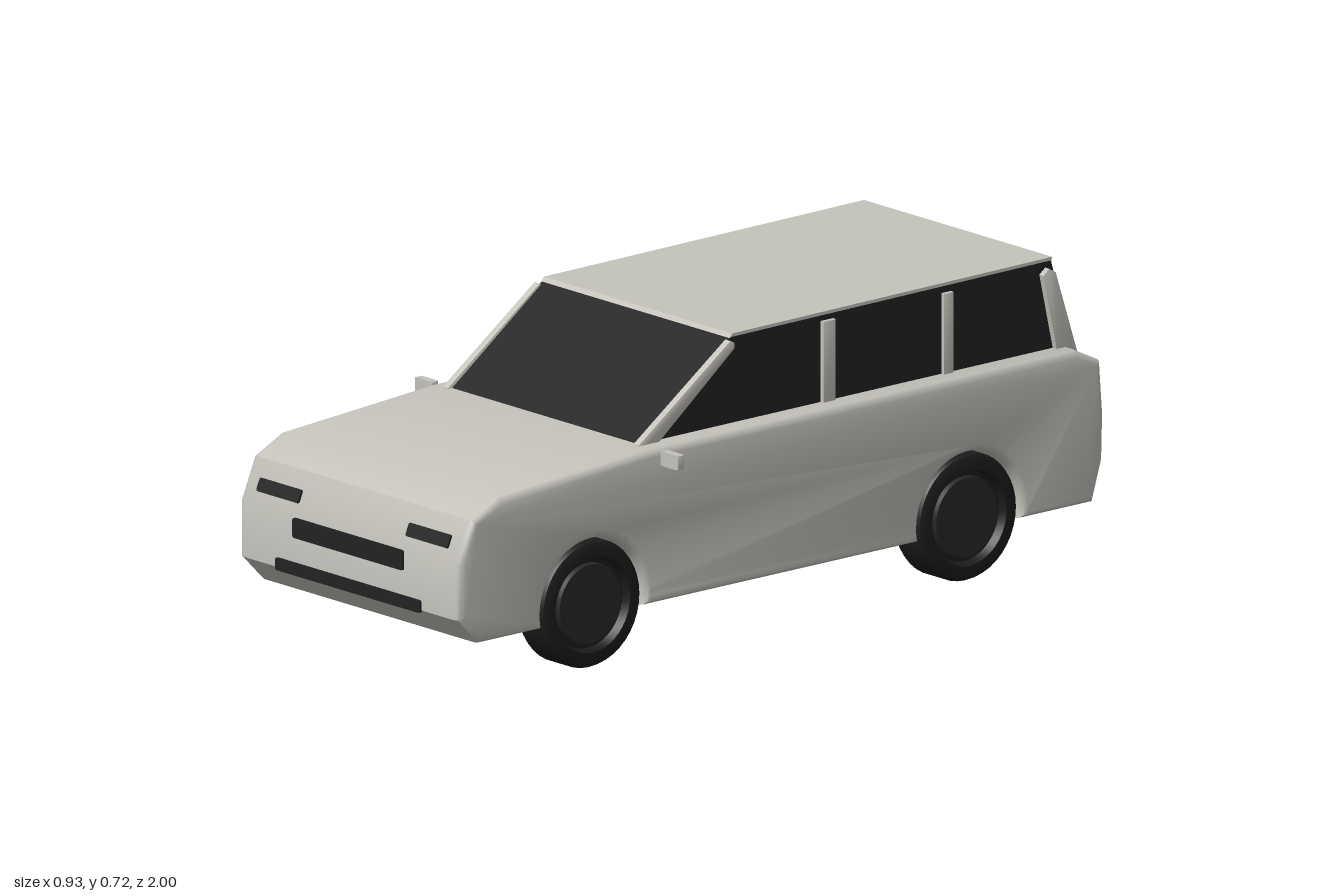
import * as THREE from 'three';
import { toCreasedNormals } from 'three/addons/utils/BufferGeometryUtils.js';

const paint = new THREE.MeshStandardMaterial({ name: 'body paint', color: 0xc4c2bb });
const glass = new THREE.MeshStandardMaterial({ name: 'dark glass and trim', color: 0x222222 });
const rubber = new THREE.MeshStandardMaterial({ name: 'tyre rubber', color: 0x1b1b1b });
const hubGrey = new THREE.MeshStandardMaterial({ name: 'hub grey', color: 0x262626 });

const WHEEL_Z = 0.58, WHEEL_R = 0.153, ARCH_R = 0.158;

// Side profile in (z, y), extruded across the car between x = -w/2 and x = w/2
function sideExtrude(shape, w, bevel = 0, segments = 3) {
  const geo = new THREE.ExtrudeGeometry(shape, {
    depth: w - 2 * bevel, curveSegments: 24, bevelEnabled: bevel > 0,
    bevelSize: bevel, bevelThickness: bevel, bevelOffset: -bevel, bevelSegments: segments,
  });
  geo.translate(0, 0, -(w - 2 * bevel) / 2);
  geo.rotateY(-Math.PI / 2);
  return toCreasedNormals(geo, 0.6);
}

const polygon = (pts) => new THREE.Shape(pts.map(([z, y]) => new THREE.Vector2(z, y)));

export function createModel() {
  const car = new THREE.Group();
  car.name = 'estateCar';

  function add(name, geo, material, x = 0, y = 0, z = 0, parent = car) {
    const mesh = new THREE.Mesh(geo, material);
    mesh.name = name;
    mesh.position.set(x, y, z);
    parent.add(mesh);
    return mesh;
  }

  // Lower body with wheel arches cut right across
  const floor = 0.122;
  const a = Math.asin((floor - WHEEL_R) / ARCH_R);
  const half = ARCH_R * Math.cos(a);
  const body = new THREE.Shape();
  body.moveTo(-0.962, floor);
  for (const z of [-WHEEL_Z, WHEEL_Z]) {
    body.lineTo(z - half, floor);
    body.absarc(z, WHEEL_R, ARCH_R, Math.PI - a, a, true);
  }
  [[0.93, floor], [0.994, 0.187], [0.994, 0.322], [0.952, 0.422], [0.867, 0.463],
    [0.4, 0.494], [-0.91, 0.497], [-0.985, 0.46], [-0.995, 0.33], [-0.992, 0.22],
  ].forEach(([z, y]) => body.lineTo(z, y));
  body.closePath();
  add('body', sideExtrude(body, 0.78, 0.018), paint);

  // Cabin glass block and roof panel
  add('cabinGlass', sideExtrude(polygon([
    [0.4, 0.47], [0.4, 0.488], [0.108, 0.701], [-0.878, 0.708], [-0.943, 0.47],
  ]), 0.664), glass);
  add('roof', sideExtrude(polygon([
    [0.112, 0.699], [0.104, 0.709], [-0.882, 0.716], [-0.878, 0.706],
  ]), 0.664), paint);

  // Window pillars, as side profiles
  const pillars = {
    frontPillar: [[0.405, 0.475], [0.405, 0.496], [0.122, 0.697], [0.108, 0.69], [0.108, 0.676], [0.35, 0.485]],
    middlePillar: [[-0.168, 0.48], [-0.168, 0.69], [-0.207, 0.69], [-0.207, 0.48]],
    rearDoorPillar: [[-0.54, 0.48], [-0.54, 0.69], [-0.57, 0.69], [-0.57, 0.48]],
    rearPillar: [[-0.887, 0.48], [-0.842, 0.68], [-0.86, 0.694], [-0.882, 0.682], [-0.948, 0.48]],
  };
  for (const side of [1, -1]) {
    const label = side > 0 ? 'left' : 'right';
    for (const [name, pts] of Object.entries(pillars)) {
      const centre = name === 'middlePillar' || name === 'rearDoorPillar' ? 0.332 : 0.336;
      add(`${label} ${name}`, sideExtrude(polygon(pts), 0.02, 0.003, 2), paint, side * centre);
    }

    // Door mirrors
    const mirror = new THREE.Shape();
    mirror.moveTo(0.368, 0.457);
    mirror.lineTo(0.388, 0.457);
    mirror.lineTo(0.388, 0.492);
    mirror.lineTo(0.368, 0.492);
    add(`${label} mirror`, sideExtrude(mirror, 0.064, 0.005, 2), paint, side * 0.433);

    // Wheels: tyre with a recessed face, and a hub disc
    for (const end of [1, -1]) {
      const wheel = new THREE.Group();
      wheel.name = `${label} ${end > 0 ? 'front' : 'rear'} wheel`;
      wheel.position.set(side * 0.335, WHEEL_R, end * WHEEL_Z);
      wheel.rotation.z = -side * Math.PI / 2;
      car.add(wheel);
      const profile = [[0, -0.05], [0.138, -0.05], [0.148, -0.045], [WHEEL_R, -0.035],
        [WHEEL_R, 0.035], [0.148, 0.045], [0.138, 0.05], [0.115, 0.05], [0.108, 0.03], [0, 0.03]];
      const tyre = new THREE.LatheGeometry(profile.map(([r, y]) => new THREE.Vector2(r, y)), 40);
      add('tyre', toCreasedNormals(tyre, 0.6), rubber, 0, 0, 0, wheel);
      add('hub', toCreasedNormals(new THREE.CylinderGeometry(0.095, 0.098, 0.016, 40), 0.6),
        hubGrey, 0, 0.034, 0, wheel);
    }
  }

  // Thin rounded plate facing +z, for lamps and grilles
  function plate(name, w, h, x, y, z, tilt, facing = 1) {
    const r = 0.006, s = new THREE.Shape();
    const hw = w / 2, hh = h / 2;
    s.absarc(hw - r, hh - r, r, 0, Math.PI / 2);
    s.absarc(-hw + r, hh - r, r, Math.PI / 2, Math.PI);
    s.absarc(-hw + r, -hh + r, r, Math.PI, Math.PI * 1.5);
    s.absarc(hw - r, -hh + r, r, Math.PI * 1.5, Math.PI * 2);
    const geo = new THREE.ExtrudeGeometry(s, { depth: 0.009, bevelEnabled: false, curveSegments: 4 });
    geo.translate(0, 0, -0.003);
    geo.rotateX(-tilt);
    if (facing < 0) geo.rotateY(Math.PI);
    add(name, geo, glass, x, y, z);
  }
  const noseTilt = Math.atan2(0.042, 0.1);
  const tailTilt = Math.atan2(0.01, 0.13);
  for (const side of [1, -1]) {
    plate('headlamp', 0.147, 0.033, side * 0.263, 0.365, 0.976, noseTilt);
    plate('tailLamp', 0.14, 0.038, side * 0.268, 0.418, -0.988, tailTilt, -1);
  }
  plate('grille', 0.388, 0.048, 0, 0.295, 0.994, 0);
  plate('lowerGrille', 0.51, 0.03, 0, 0.196, 0.994, 0);
  plate('rearPlate', 0.2, 0.044, 0, 0.295, -0.994, 0, -1);

  return car;
}
